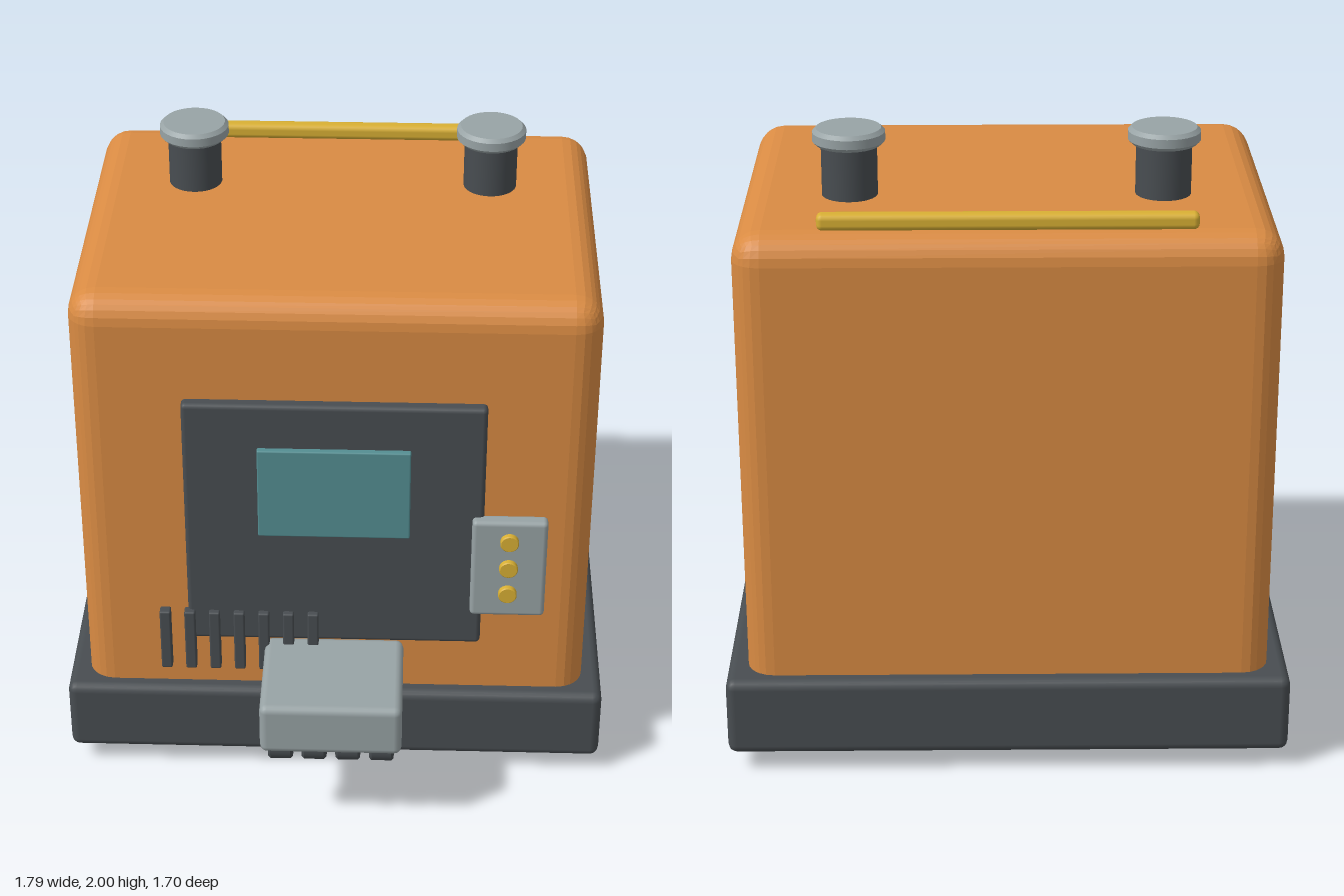
import * as THREE from 'three';
import { RoundedBoxGeometry } from 'three/addons/geometries/RoundedBoxGeometry.js';

const mat = (name, color, flatShading = false) => {
  const m = new THREE.MeshStandardMaterial({ color, flatShading });
  m.name = name;
  return m;
};

export function createModel() {
  const orange = mat('orange paint', 0xd98b43, true);
  const dark = mat('dark grey', 0x484d51);
  const grey = mat('light grey', 0x98a3a5);
  const teal = mat('teal glass', 0x548e92);
  const yellow = mat('yellow', 0xd9b034);

  const model = new THREE.Group();
  model.name = 'machine';

  const add = (name, geometry, material, x, y, z) => {
    const mesh = new THREE.Mesh(geometry, material);
    mesh.name = name;
    mesh.position.set(x, y, z);
    model.add(mesh);
    return mesh;
  };

  // Rounded box given by its limits on each axis
  const box = (name, material, [x0, x1], [y0, y1], [z0, z1], radius, segments = 2) =>
    add(name, new RoundedBoxGeometry(x1 - x0, y1 - y0, z1 - z0, segments, radius), material,
      (x0 + x1) / 2, (y0 + y1) / 2, (z0 + z1) / 2);

  // Turned part with chamfered rims, standing on its base
  const turned = (name, material, r, h, c, x, y, z) =>
    add(name, new THREE.LatheGeometry([
      [0, 0], [r - c, 0], [r - c, 0], [r, c], [r, c], [r, h - c], [r, h - c], [r - c, h], [r - c, h], [0, h],
    ].map(([a, b]) => new THREE.Vector2(a, b)), 32), material, x, y, z);

  // Main housing and plinth
  box('base', dark, [-0.895, 0.895], [0.065, 0.325], [-0.847, 0.507], 0.03);
  box('body', orange, [-0.83, 0.83], [0.2, 1.785], [-0.797, 0.455], 0.09, 3);

  // Feet
  for (const x of [-0.622, 0.622])
    for (const z of [0.285, -0.622])
      box('foot', grey, [x - 0.073, x + 0.073], [0, 0.1], [z - 0.073, z + 0.073], 0.012);

  // Front panel with screen
  box('frontPanel', dark, [-0.48, 0.48], [0.53, 1.44], [0.43, 0.492], 0.015);
  box('screen', teal, [-0.243, 0.243], [0.96, 1.285], [0.47, 0.512], 0.005);

  // Control box with three buttons
  box('controlBox', grey, [0.442, 0.684], [0.667, 1.036], [0.472, 0.523], 0.015);
  for (const y of [0.965, 0.863, 0.762])
    turned('button', yellow, 0.03, 0.03, 0.003, 0.562, y, 0.511).rotation.x = Math.PI / 2;

  // Vent slats
  for (let i = 0; i < 7; i++) {
    const x = -0.555 + i * 0.081;
    box('ventSlat', dark, [x - 0.018, x + 0.018], [0.417, 0.647], [0.475, 0.512], 0.006);
  }

  // Tray with rollers under its front edge
  box('tray', grey, [-0.229, 0.229], [0.34, 0.525], [0.462, 0.85], 0.025);
  for (let i = 0; i < 4; i++)
    turned('roller', dark, 0.05, 0.08, 0.008, -0.123 + i * 0.109, 0.34, 0.792).rotation.z = Math.PI / 2;

  // Chimneys with caps
  for (const x of [-0.487, 0.487]) {
    turned('chimney', dark, 0.087, 0.22, 0.006, x, 1.75, -0.363);
    turned('chimneyCap', grey, 0.113, 0.052, 0.012, x, 1.948, -0.363);
  }

  // Rail along the back of the roof
  box('rail', yellow, [-0.573, 0.573], [1.783, 1.835], [-0.726, -0.674], 0.018);

  return model;
}
